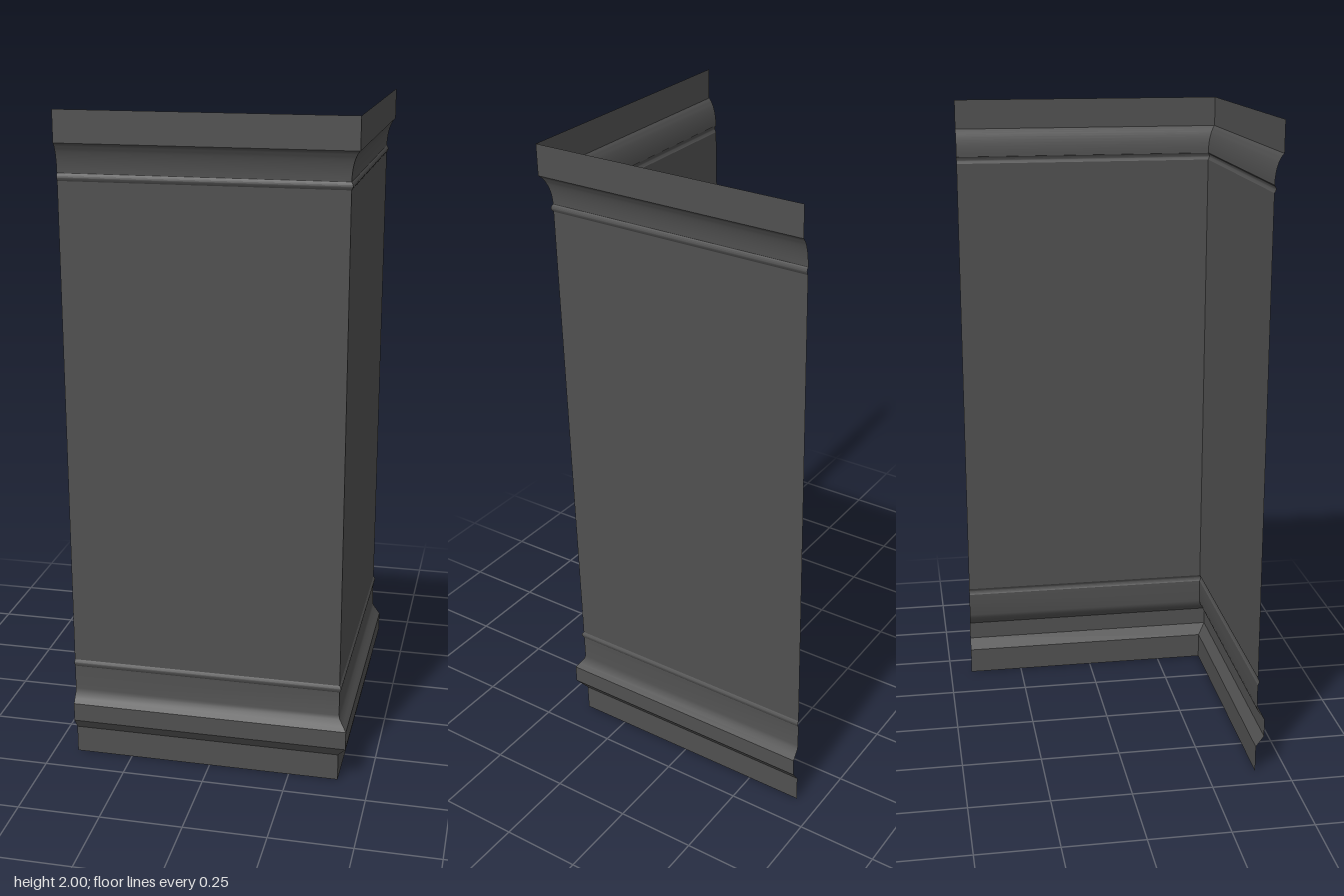
import * as THREE from 'three';
import { toCreasedNormals } from 'three/addons/utils/BufferGeometryUtils.js';

const HALF = 0.427; // outer extent of the corner
const WALL = 0.402; // plane of the flat panels

// Sweep a profile of [offset, height] points round the mitred corner
function cornerSweep(profile) {
  const positions = [];
  const indices = [];
  profile.forEach(([o, y], row) => {
    positions.push(-HALF, y, o, o, y, o, o, y, -HALF);
    if (row === 0) return;
    for (let col = 0; col < 2; col++) {
      const a = (row - 1) * 3 + col;
      const d = row * 3 + col;
      indices.push(a, a + 1, d + 1, a, d + 1, d);
    }
  });
  const geometry = new THREE.BufferGeometry();
  geometry.setAttribute('position', new THREE.Float32BufferAttribute(positions, 3));
  geometry.setIndex(indices);
  return toCreasedNormals(geometry, 0.4);
}

// Small half-round bead between two heights
function bead(y0, y1) {
  const points = [];
  for (let i = 0; i <= 6; i++) {
    const t = i / 6;
    points.push([WALL + 0.005 * Math.sin(Math.PI * t), y0 + (y1 - y0) * t]);
  }
  return points;
}

export function createModel() {
  const group = new THREE.Group();
  const darkGrey = new THREE.MeshStandardMaterial({ color: 0x505050, side: THREE.DoubleSide });
  darkGrey.name = 'dark grey';

  // Concave cove that flares out below the top band
  const cove = [];
  for (let i = 0; i <= 10; i++) {
    const a = (i / 10) * 1.22;
    cove.push([WALL + 0.025 * (1 - Math.cos(a)) / (1 - Math.cos(1.22)), 1.822 + 0.086 * Math.sin(a) / Math.sin(1.22)]);
  }

  const parts = {
    baseMoulding: [
      [WALL, 0], [WALL, 0.085], [HALF, 0.12], [HALF, 0.178],
      [0.417, 0.192], [0.405, 0.208], [WALL, 0.22], [WALL, 0.297],
    ],
    lowerBead: bead(0.297, 0.319),
    wallPanel: [[WALL, 0.319], [WALL, 1.8]],
    upperBead: bead(1.8, 1.822),
    cornice: [...cove, [HALF, 2]],
  };

  for (const [name, profile] of Object.entries(parts)) {
    const mesh = new THREE.Mesh(cornerSweep(profile), darkGrey);
    mesh.name = name;
    group.add(mesh);
  }
  return group;
}
